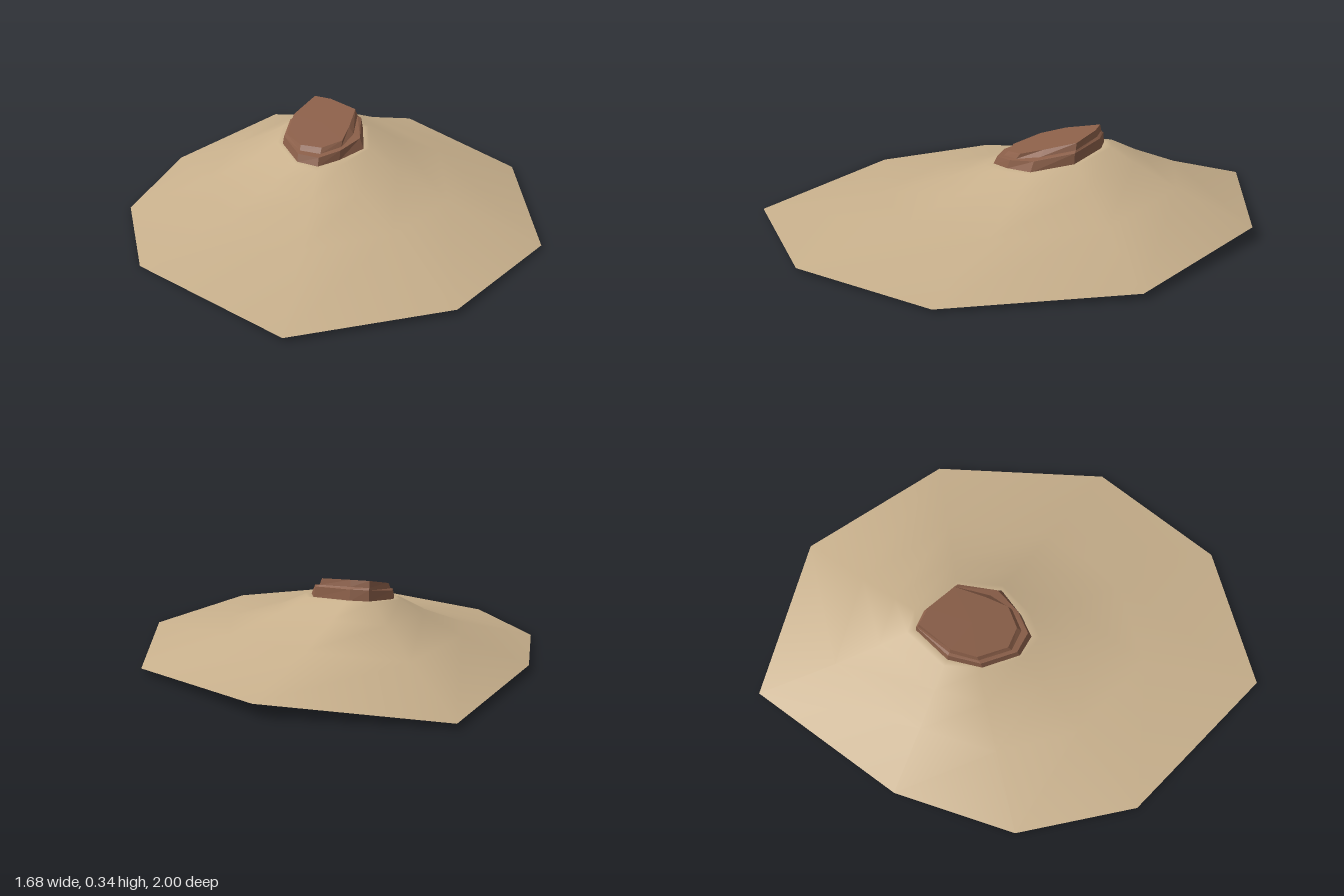
import * as THREE from 'three';

// Nine sectors, running back, right, front, left: [x, z] (and y for the outer edge)
const EDGE = [[0.10, -1.0, 0.015], [0.65, -0.62, 0.05], [0.84, 0.02, 0.02], [0.57, 0.69, 0.01], [0.06, 0.995, 0.015],
  [-0.53, 0.945, 0.012], [-0.845, 0.29, 0.0], [-0.78, -0.20, 0.005], [-0.475, -0.60, 0.022]];
const RIM = [[0.06, -0.355], [0.14, -0.30], [0.21, -0.10], [0.14, 0.07], [0.0, 0.135],
  [-0.11, 0.14], [-0.165, 0.05], [-0.175, -0.14], [-0.11, -0.26]];
const ROCK_BASE = [[0.06, -0.32], [0.115, -0.27], [0.185, -0.10], [0.12, 0.06], [0.0, 0.10],
  [-0.095, 0.11], [-0.155, 0.04], [-0.16, -0.12], [-0.09, -0.24]];
const ROCK_TOP = [[0.05, -0.305], [0.10, -0.25], [0.16, -0.125], [0.09, -0.02], [0.03, 0.055],
  [-0.06, 0.06], [-0.125, 0.0], [-0.13, -0.13], [-0.075, -0.22]];
const BULGE = [0.06, 0.08, 0.06, 0, 0, 0, 0, 0.02, 0.06];

const baseY = (x, z) => 0.222 + 0.09 * x - 0.12 * z; // slope under the rock
const topY = (x, z) => 0.277 + 0.17 * x - 0.18 * z; // tilt of the rock's top

// Joins closed rings, innermost first; optionally caps the first ring
function loft(rings, cap = false) {
  const n = rings[0].length;
  const points = rings.flat();
  const index = [];
  for (let r = 0; r < rings.length - 1; r++) {
    for (let i = 0; i < n; i++) {
      const a = r * n + i, b = r * n + (i + 1) % n;
      index.push(a, b, b + n, a, b + n, a + n);
    }
  }
  if (cap) {
    const centre = rings[0].reduce((s, p) => s.add(p), new THREE.Vector3()).divideScalar(n);
    points.push(centre);
    for (let i = 0; i < n; i++) index.push(points.length - 1, (i + 1) % n, i);
  }
  const g = new THREE.BufferGeometry().setFromPoints(points);
  g.setIndex(index);
  return g;
}

export function createModel() {
  const group = new THREE.Group();
  group.name = 'rockOnMound';
  const sand = new THREE.MeshStandardMaterial({ color: 0xc8b08c, side: THREE.DoubleSide });
  sand.name = 'sand';
  const brown = new THREE.MeshStandardMaterial({ color: 0x8b5f49, side: THREE.DoubleSide, flatShading: true });
  brown.name = 'brownRock';

  // Open mound: a lip at the rock, then a concave slope to the ragged edge
  const lip = ROCK_BASE.map(([x, z]) => new THREE.Vector3(x, baseY(x, z), z));
  const slope = [[0, 1], [0.18, 0.7], [0.48, 0.37], [1, 0]].map(([t, f]) => EDGE.map(([ex, ez, ey], i) => {
    const [x, z] = RIM[i];
    const h = f + (t > 0 && t < 1 ? BULGE[i] : 0);
    return new THREE.Vector3(x + (ex - x) * t, ey + (baseY(x, z) - ey) * h, z + (ez - z) * t);
  }));
  const moundGeometry = loft([lip, ...slope]);
  moundGeometry.computeVertexNormals();
  const mound = new THREE.Mesh(moundGeometry, sand);
  mound.name = 'mound';

  // Rock shell: tilted top, a narrow ledge, then sides down into the mound
  const rockRing = (inset, height) => ROCK_BASE.map(([bx, bz], i) => {
    const [tx, tz] = ROCK_TOP[i];
    const x = bx + (tx - bx) * inset, z = bz + (tz - bz) * inset;
    return new THREE.Vector3(x, baseY(bx, bz) + (topY(tx, tz) - baseY(bx, bz)) * height, z);
  });
  const rockGeometry = loft([rockRing(1, 1), rockRing(0.7, 0.65), rockRing(0.25, 0.55), rockRing(0, -0.03)], true)
    .toNonIndexed();
  rockGeometry.computeVertexNormals();
  const rock = new THREE.Mesh(rockGeometry, brown);
  rock.name = 'rock';

  group.add(mound, rock);
  return group;
}
